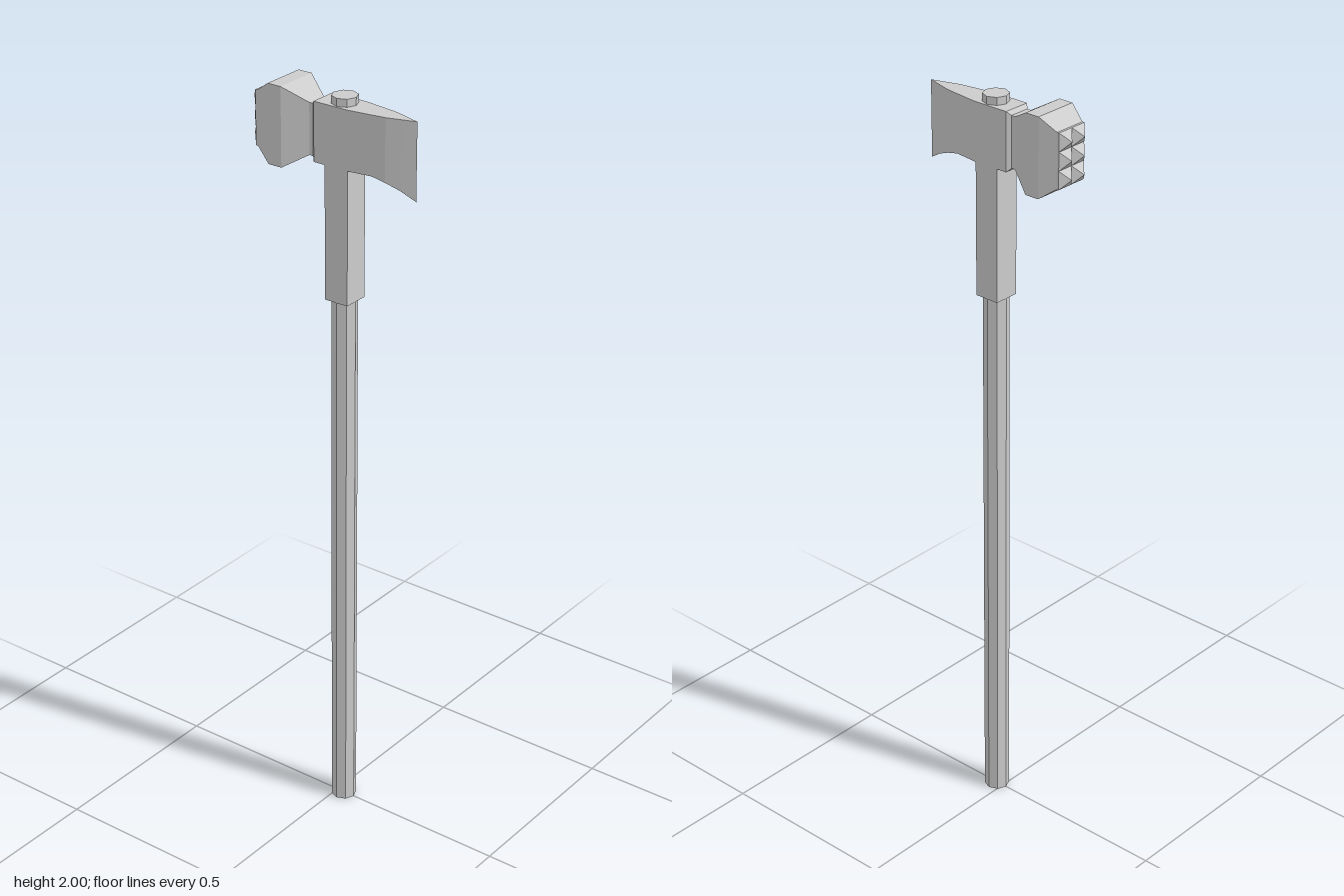
import * as THREE from 'three';

const material = new THREE.MeshStandardMaterial({ color: 0xcccccc, flatShading: true });

// Skins rectangular sections [z, halfWidth, bottom, top], listed from front to back
function loft(sections) {
  const rings = sections.map(([z, w, lo, hi]) => [[-w, lo, z], [w, lo, z], [w, hi, z], [-w, hi, z]]);
  const pos = [];
  const quad = (a, b, c, d) => pos.push(...a, ...b, ...c, ...a, ...c, ...d);
  for (let s = 0; s < rings.length - 1; s++) {
    const f = rings[s], k = rings[s + 1];
    for (let i = 0; i < 4; i++) {
      const j = (i + 1) % 4;
      quad(f[i], k[i], k[j], f[j]);
    }
  }
  const first = rings[0], last = rings[rings.length - 1];
  quad(first[0], first[1], first[2], first[3]);
  quad(last[3], last[2], last[1], last[0]);
  const geo = new THREE.BufferGeometry();
  geo.setAttribute('position', new THREE.Float32BufferAttribute(pos, 3));
  geo.computeVertexNormals();
  return geo;
}

export function createModel() {
  const group = new THREE.Group();
  const add = (name, geo, x = 0, y = 0, z = 0) => {
    const mesh = new THREE.Mesh(geo, material);
    mesh.name = name;
    mesh.position.set(x, y, z);
    group.add(mesh);
  };
  const shaftZ = 0.022;

  // Eight-sided shaft, poking out above the head
  add('shaft', new THREE.CylinderGeometry(0.033, 0.033, 1.995, 8), 0, 0.9975, shaftZ);

  // Square socket under the head
  add('socket', new THREE.BoxGeometry(0.07, 0.37, 0.068), 0, 1.655, shaftZ);

  // Axe blade, eye block and narrow neck
  add('axeBlade', loft([
    [0.232, 0, 1.775, 1.975],
    [0.195, 0.0115, 1.797, 1.975],
    [0.157, 0.023, 1.813, 1.975],
    [0.122, 0.028, 1.822, 1.975],
    [0.057, 0.037, 1.822, 1.975],
    [-0.043, 0.037, 1.822, 1.975],
    [-0.052, 0.028, 1.832, 1.965],
    [-0.064, 0.028, 1.832, 1.965],
  ]));

  // Flared hammer head
  add('hammerHead', loft([
    [-0.063, 0.028, 1.832, 1.965],
    [-0.124, 0.06, 1.795, 2.0],
    [-0.163, 0.06, 1.795, 2.0],
    [-0.207, 0.045, 1.827, 1.969],
    [-0.213, 0.045, 1.827, 1.969],
  ]));

  // Pyramid studs on the striking face, two across and three high
  const stud = new THREE.ConeGeometry(Math.SQRT1_2, 1, 4);
  stud.rotateY(Math.PI / 4).rotateX(-Math.PI / 2).scale(0.045, 0.0473, 0.021);
  for (const x of [-0.0225, 0.0225]) {
    for (const row of [-1, 0, 1]) add('stud', stud, x, 1.898 + row * 0.0473, -0.2235);
  }
  return group;
}
